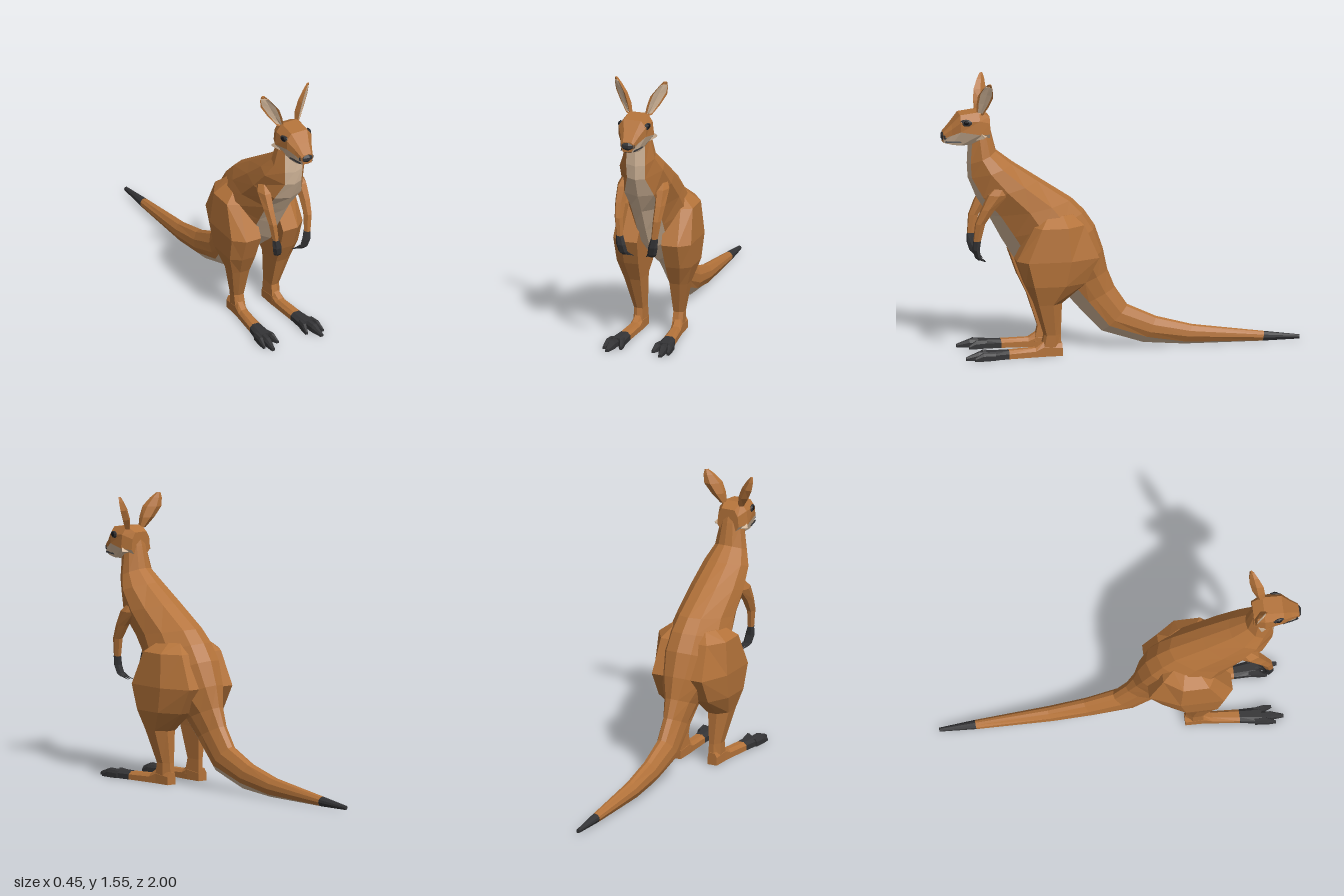
import * as THREE from 'three';

const mat = (name, color) => {
  const m = new THREE.MeshStandardMaterial({ color, flatShading: true });
  m.name = name;
  return m;
};

export function createModel() {
  const fur = mat('brown fur', 0xb4733a);
  const cream = mat('cream fur', 0xd2b699);
  const dark = mat('dark skin', 0x343436);
  const black = mat('eye black', 0x131316);
  const mats = [fur, cream, dark, black];
  const model = new THREE.Group();
  model.name = 'kangaroo';

  // Skins closed rings of points; pick(segment, side) chooses the material index.
  function loft(name, rings, pick, parent = model) {
    const buckets = mats.map(() => []);
    const n = rings[0].length;
    const tri = (m, a, b, c) => buckets[m].push([a, b, c]);
    for (let i = 0; i < rings.length - 1; i++) {
      for (let j = 0; j < n; j++) {
        const k = (j + 1) % n, m = pick(i, j), A = rings[i], B = rings[i + 1];
        tri(m, A[j], B[j], B[k]);
        tri(m, A[j], B[k], A[k]);
      }
    }
    const last = rings.length - 1;
    for (let j = 1; j < n - 1; j++) {
      tri(pick(0, 0), rings[0][0], rings[0][j], rings[0][j + 1]);
      tri(pick(last - 1, 0), rings[last][0], rings[last][j + 1], rings[last][j]);
    }
    // Turn all faces outward using the signed volume about the first point
    const o = new THREE.Vector3(...rings[0][0]);
    let volume = 0;
    buckets.flat().forEach((t) => {
      const [a, b, c] = t.map((p) => new THREE.Vector3(...p).sub(o));
      volume += a.dot(b.cross(c));
    });
    const pos = [], geo = new THREE.BufferGeometry();
    buckets.forEach((tris, m) => {
      if (!tris.length) return;
      geo.addGroup(pos.length / 3, tris.length * 3, m);
      tris.forEach(([a, b, c]) => pos.push(...a, ...(volume < 0 ? [...c, ...b] : [...b, ...c])));
    });
    geo.setAttribute('position', new THREE.Float32BufferAttribute(pos, 3));
    geo.computeVertexNormals();
    const mesh = new THREE.Mesh(geo, mats);
    mesh.name = name;
    parent.add(mesh);
    return mesh;
  }
  const all = (m) => () => m;

  // Mirrored ring from one half outline, given as [x, y, z] from +x side
  const mirrorRing = (half) => [
    ...half,
    ...half.filter((p) => p[0] > 0).reverse().map(([x, y, z]) => [-x, y, z]),
  ];
  // Horizontal elliptical ring
  const flatRing = (s, [x, y, z, rx, rz], n = 6) => Array.from({ length: n }, (_, i) => {
    const a = (i / n) * Math.PI * 2;
    return [s * (x + Math.cos(a) * rx), y, z + Math.sin(a) * rz];
  });

  // Neck, torso and tail: back z, y; belly z, y; half width; belly strip half width, depth
  const spine = [
    [0.74, 1.34, 0.86, 1.25, 0.062, 0.04, 0.85],
    [0.72, 1.27, 0.845, 1.18, 0.07, 0.052, 0.88],
    [0.69, 1.15, 0.85, 1.08, 0.092, 0.055, 0.92],
    [0.60, 1.08, 0.845, 1.0, 0.125, 0.052, 0.94],
    [0.45, 0.98, 0.80, 0.89, 0.143, 0.085, 0.92],
    [0.27, 0.86, 0.73, 0.78, 0.15, 0.082, 0.88],
    [0.20, 0.79, 0.66, 0.65, 0.165, 0.08, 0.86],
    [0.14, 0.70, 0.58, 0.52, 0.17, 0.08, 0.86],
    [0.095, 0.57, 0.45, 0.41, 0.14, 0.075, 0.82],
    [0.07, 0.45, 0.32, 0.345, 0.085, 0.072, 0.75],
    [0.03, 0.35, 0.24, 0.25, 0.062, 0.06, 0.72],
    [-0.04, 0.245, 0.10, 0.10, 0.056, 0.05, 0.75],
    [-0.20, 0.17, -0.13, 0.025, 0.048, 0.036, 0.75],
    [-0.40, 0.115, -0.36, 0.006, 0.042, 0.026, 0.85],
    [-0.80, 0.058, -0.79, 0.003, 0.026, 0.015, 0.9],
    [-0.998, 0.03, -0.998, 0.006, 0.011, 0.007, 0.9],
  ];
  const bodyRings = spine.map(([dz, dy, vz, vy, w, b, bt]) => {
    const at = (x, t) => [x, dy + (vy - dy) * t, dz + (vz - dz) * t];
    return mirrorRing([at(0, 0), at(w * 0.45, 0.05), at(w * 0.9, 0.28), at(w, 0.55), at(b, bt), at(0, 1)]);
  });
  loft('body and tail', bodyRings, (i, j) => (i === 14 ? 2 : j === 4 || j === 5 ? 1 : 0));

  // Head: z, then [half width, y] for crown, temple, cheek and jaw
  const headRings = [
    [0.73, 0.04, 1.345, 0.06, 1.31, 0.066, 1.25, 0.04, 1.215],
    [0.79, 0.05, 1.375, 0.083, 1.33, 0.092, 1.255, 0.05, 1.195],
    [0.895, 0.05, 1.362, 0.078, 1.325, 0.078, 1.272, 0.046, 1.19],
    [0.94, 0.034, 1.31, 0.053, 1.285, 0.053, 1.25, 0.04, 1.195],
    [0.985, 0.024, 1.262, 0.034, 1.25, 0.035, 1.23, 0.025, 1.205],
  ].map(([z, ...p]) => mirrorRing([0, 2, 4, 6].map((k) => [p[k], p[k + 1], z])));
  loft('head', headRings, (i, j) => (j >= 2 && j <= 4 ? 1 : 0));

  const blob = (name, material, [x, y, z], [a, b, c], turn = 0) => {
    const m = new THREE.Mesh(new THREE.SphereGeometry(1, 7, 5), material);
    m.name = name;
    m.position.set(x, y, z);
    m.scale.set(a, b, c);
    m.rotation.y = turn;
    model.add(m);
  };
  blob('nose', dark, [0, 1.238, 0.968], [0.046, 0.027, 0.032]);
  blob('lower lip', dark, [0, 1.204, 0.955], [0.038, 0.008, 0.03]);

  for (const s of [1, -1]) {
    const side = s > 0 ? 'left' : 'right';
    const M = (ring) => ring.map(([x, y, z]) => [s * x, y, z]);

    // Eye, mouth line and cheek tuft
    blob(side + 'EyePatch', dark, [s * 0.076, 1.323, 0.868], [0.01, 0.02, 0.036], -s * 0.25);
    blob(side + 'Eye', black, [s * 0.081, 1.325, 0.866], [0.01, 0.013, 0.018], -s * 0.25);
    loft(side + 'Mouth', [[0.037, 0.975], [0.046, 0.94], [0.056, 0.89]].map(([x, z]) =>
      flatRing(s, [x, 1.212, z, 0.004, 0.004], 4).map((p, i) => [p[0], p[1] + (i % 2 ? 0.004 : -0.004), p[2]])), all(2));
    loft(side + 'CheekTuft', [
      M([[0.075, 1.28, 0.80], [0.07, 1.22, 0.81], [0.07, 1.24, 0.75]]),
      M([[0.103, 1.245, 0.768], [0.1, 1.235, 0.77], [0.1, 1.24, 0.765]]),
    ], all(1));

    // Ear: cupped shell facing forward and outward, with a thin pale lining
    const place = (u, d, t) => [
      s * (0.055 + 0.085 * t + u * 0.72 + d * 0.68), 1.36 + 0.19 * t, 0.785 - 0.04 * t - u * 0.68 + d * 0.72];
    const earSizes = [[0, 0.02, 0.018], [0.3, 0.042, 0.028], [0.6, 0.052, 0.024], [0.85, 0.032, 0.014], [1, 0.01, 0.005]];
    loft(side + 'Ear', earSizes.map(([t, w, d]) => [
      place(-w, 0.005, t), place(0, -0.006, t), place(w, 0.005, t), place(w * 0.5, -d, t), place(-w * 0.5, -d, t),
    ]), all(0));
    loft(side + 'EarLining', earSizes.slice(0, 4).map(([t, w]) => [
      place(-w * 0.75, 0.005, t + 0.06), place(0, -0.001, t + 0.06),
      place(w * 0.75, 0.005, t + 0.06), place(0, -0.006, t + 0.06),
    ]), all(1));

    // Arm, paw and claws
    loft(side + 'Arm', [
      [0.09, 1.0, 0.645, 0.02, 0.03],
      [0.112, 0.92, 0.695, 0.036, 0.062],
      [0.114, 0.84, 0.752, 0.03, 0.042],
      [0.11, 0.76, 0.795, 0.024, 0.03],
      [0.1, 0.66, 0.81, 0.019, 0.022],
    ].map((r) => flatRing(s, r)), all(0));
    loft(side + 'Paw', [
      [0.1, 0.66, 0.81, 0.02, 0.023],
      [0.092, 0.61, 0.814, 0.027, 0.021],
      [0.083, 0.565, 0.803, 0.026, 0.018],
      [0.075, 0.548, 0.79, 0.02, 0.014],
    ].map((r) => flatRing(s, r)), all(2));
    for (let k = 0; k < 3; k++) {
      const x = 0.066 + k * 0.016;
      loft(side + 'Claw', [
        [x, 0.566, 0.80, 0.01, 0.012],
        [x - 0.012, 0.547, 0.78, 0.008, 0.01],
        [x - 0.03, 0.533, 0.758, 0.003, 0.004],
      ].map((r) => flatRing(s, r, 4)), all(2));
    }

    // Thigh and shin: y, back z, front z, inner x, outer x
    const legShape = [[0, 0], [0.55, 0], [1, 0.36], [1, 0.88], [0.6, 1], [0, 1]];
    loft(side + 'Leg', [
      [0.79, 0.28, 0.44, 0.06, 0.135],
      [0.735, 0.22, 0.5, 0.06, 0.208],
      [0.55, 0.14, 0.6, 0.07, 0.224],
      [0.41, 0.215, 0.55, 0.078, 0.215],
      [0.3, 0.345, 0.497, 0.084, 0.182],
      [0.12, 0.348, 0.44, 0.088, 0.142],
      [0.03, 0.342, 0.46, 0.084, 0.14],
    ].map(([y, zb, zf, xi, xo]) =>
      legShape.map(([u, v]) => [s * (xi + (xo - xi) * u), y, zb + (zf - zb) * v])), all(0));

    // Long foot and toes: centre x, z, half width, top height
    const footRing = ([x, z, w, h]) => M([[x - w, 0.002, z], [x - w, h * 0.65, z], [x - w * 0.5, h, z],
      [x + w * 0.5, h, z], [x + w, h * 0.65, z], [x + w, 0.002, z]]);
    loft(side + 'Foot', [
      [0.112, 0.341, 0.028, 0.07],
      [0.113, 0.44, 0.029, 0.085],
      [0.117, 0.49, 0.03, 0.052],
      [0.129, 0.64, 0.035, 0.046],
      [0.139, 0.76, 0.045, 0.046],
    ].map(footRing), (i) => (i === 3 ? 2 : 0));
    const toes = [[0.11, 0.092, 0.82, 0.015], [0.141, 0.153, 0.88, 0.02], [0.17, 0.184, 0.835, 0.015]];
    for (const [x0, x1, z1, w] of toes) {
      loft(side + 'Toe', [
        [x0, 0.72, w, 0.042],
        [(x0 + x1) / 2, (0.74 + z1) / 2, w, 0.046],
        [x1, z1, w * 0.45, 0.02],
      ].map(footRing), all(2));
    }
  }
  return model;
}
